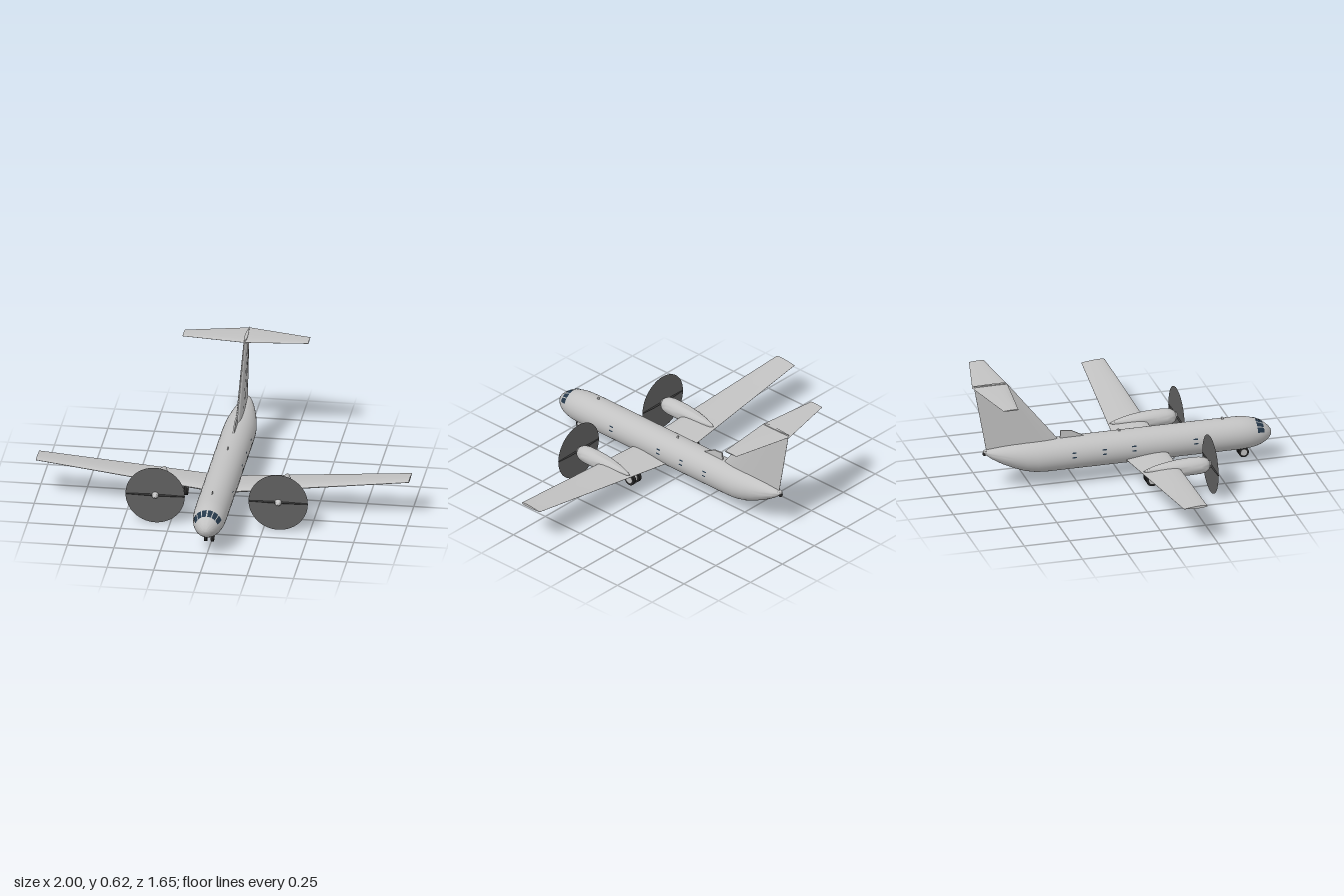
import * as THREE from 'three';
import { toCreasedNormals } from 'three/addons/utils/BufferGeometryUtils.js';

const mat = (name, color, side = THREE.FrontSide) => {
  const m = new THREE.MeshStandardMaterial({ color, side });
  m.name = name;
  return m;
};

// Skin a list of closed rings (equal point counts), cap both ends, face outward
function loft(rings, crease = 0.7) {
  const n = rings[0].length, pts = rings.flat(), idx = [];
  for (let i = 0; i < rings.length - 1; i++) {
    for (let j = 0; j < n; j++) {
      const a = i * n + j, b = i * n + (j + 1) % n;
      idx.push(a, b, b + n, a, b + n, a + n);
    }
  }
  const last = (rings.length - 1) * n;
  for (let j = 1; j < n - 1; j++) idx.push(0, j + 1, j, last, last + j, last + j + 1);
  const p = pts.map((q) => new THREE.Vector3(...q));
  let volume = 0;
  for (let i = 0; i < idx.length; i += 3) {
    volume += p[idx[i]].dot(p[idx[i + 1]].clone().cross(p[idx[i + 2]]));
  }
  if (volume < 0) idx.reverse();
  const g = new THREE.BufferGeometry();
  g.setAttribute('position', new THREE.Float32BufferAttribute(pts.flat(), 3));
  g.setIndex(idx);
  return toCreasedNormals(g, crease);
}

// Streamlined section: returns [z, offset] pairs from leading to trailing edge and back
function foil(le, te, thick) {
  const half = [[0.012, 0.3], [0.06, 0.62], [0.16, 0.9], [0.32, 1], [0.55, 0.82], [0.8, 0.42], [1, 0.05]];
  const at = ([t, h], s) => [le + (te - le) * t, s * h * thick / 2, t];
  return [[le, 0, 0], ...half.map((q) => at(q, 1)), ...half.slice().reverse().map((q) => at(q, -1))];
}

// Fuselage stations: z, top y, bottom y, half width
const body = [
  [0.824, 0.162, 0.158, 0.002], [0.818, 0.18, 0.14, 0.02], [0.805, 0.197, 0.125, 0.036],
  [0.785, 0.215, 0.111, 0.052], [0.76, 0.231, 0.099, 0.066], [0.73, 0.244, 0.091, 0.077],
  [0.69, 0.255, 0.085, 0.085], [0.64, 0.26, 0.083, 0.088], [0.58, 0.261, 0.083, 0.089],
  [-0.42, 0.261, 0.083, 0.089], [-0.48, 0.261, 0.086, 0.086], [-0.54, 0.26, 0.099, 0.079],
  [-0.6, 0.257, 0.122, 0.068], [-0.66, 0.252, 0.15, 0.053], [-0.72, 0.244, 0.186, 0.033],
  [-0.755, 0.239, 0.214, 0.016], [-0.765, 0.235, 0.225, 0.006],
];

// Point on the fuselage skin; a is the angle from the top towards +x
function skin(z, a, lift = 0) {
  let i = 0;
  while (i < body.length - 2 && z < body[i + 1][0]) i++;
  const p = body[i], q = body[i + 1], t = (z - p[0]) / (q[0] - p[0]);
  const [top, bottom, w] = [1, 2, 3].map((k) => p[k] + (q[k] - p[k]) * t);
  return [(w + lift) * Math.sin(a), (top + bottom) / 2 + ((top - bottom) / 2 + lift) * Math.cos(a), z];
}

// Thin plate that follows the fuselage skin
function skinPatch(z0, z1, a0, a1, lift = 0.0025) {
  const g = new THREE.PlaneGeometry(1, 1, 4, 4), pos = g.attributes.position;
  for (let i = 0; i < pos.count; i++) {
    const u = pos.getX(i) + 0.5, v = pos.getY(i) + 0.5;
    pos.setXYZ(i, ...skin(z0 + (z1 - z0) * v, a0 + (a1 - a0) * u, lift));
  }
  g.computeVertexNormals();
  return g;
}

export function createModel() {
  const paint = mat('light grey paint', 0xc2c2c2);
  const glass = mat('dark blue glass', 0x25384a, THREE.DoubleSide);
  const discMat = mat('propeller blur grey', 0x606060, THREE.DoubleSide);
  const dark = mat('blade charcoal', 0x3a3a3a);
  const rubber = mat('tyre black', 0x262626);

  const model = new THREE.Group();
  model.name = 'airplane';
  const add = (name, geo, m, parent = model, x = 0, y = 0, z = 0) => {
    const mesh = new THREE.Mesh(geo, m);
    mesh.name = name;
    mesh.position.set(x, y, z);
    parent.add(mesh);
    return mesh;
  };

  // Fuselage
  const SEG = 40;
  add('fuselage', loft(body.map(([z]) =>
    Array.from({ length: SEG }, (_, j) => skin(z, j / SEG * Math.PI * 2))), 1), paint);
  add('tailCone', new THREE.SphereGeometry(0.012, 16, 10), rubber, model, 0, 0.218, -0.757);

  // Cockpit panes and cabin windows
  const rad = Math.PI / 180;
  for (const s of [-1, 1]) {
    for (const [a0, a1] of [[3, 22], [26, 46], [50, 72]]) {
      add('cockpitWindow', skinPatch(0.732, 0.772, s * a0 * rad, s * a1 * rad), glass);
    }
    for (const z of [0.385, 0.045, -0.118, -0.285]) {
      for (const a of [71.5, 87]) {
        add('cabinWindow', skinPatch(z - 0.012, z + 0.012, s * (a - 2.2) * rad, s * (a + 2.2) * rad, 0.0015), glass);
      }
    }
  }

  // Main wing with dihedral
  const wingRing = (x) => {
    const d = Math.abs(x), y = 0.121 + 0.104 * d, twist = 0.012 - 0.008 * d;
    return foil(0.24 - 0.05 * d, 0.06 * d, 0.036 - 0.022 * d)
      .map(([z, h, t]) => [x, y + h + twist * (0.5 - t), z]);
  };
  add('wing', loft([-1, 0, 1].map(wingRing)), paint);

  // T-tail
  add('fin', loft([[0.22, -0.323, -0.745, 0.034], [0.616, -0.638, -0.817, 0.018]].map(([y, le, te, w]) =>
    foil(le, te, w).map(([z, h]) => [h, y, z]))), paint);
  add('tailplane', loft([-0.337, 0, 0.337].map((x) => {
    const d = Math.abs(x) / 0.337;
    return foil(-0.63 - 0.035 * d, -0.825 + 0.077 * d, 0.013 - 0.006 * d).map(([z, h]) => [x, 0.606 + h, z]);
  })), paint);

  // Thin antennas, drawn as side outlines in (z, y)
  const blade = (name, outline, w) => add(name, loft([-w / 2, w / 2].map((x) =>
    outline.map(([z, y]) => [x, y, z]))), paint);
  blade('dorsalFin', [[-0.2, 0.255], [-0.28, 0.298], [-0.338, 0.303], [-0.342, 0.255]], 0.008);
  for (const z of [0.56, -0.012]) {
    blade('topAntenna', [[z + 0.008, 0.255], [z - 0.004, 0.276], [z - 0.01, 0.276], [z - 0.008, 0.255]], 0.004);
  }
  blade('bellyAntenna', [[0.305, 0.088], [0.29, 0.066], [0.282, 0.066], [0.286, 0.088]], 0.004);

  // Engines and propellers
  const turned = (profile) => {
    const g = new THREE.LatheGeometry(profile.map(([z, r]) => new THREE.Vector2(r, z)), 28);
    return toCreasedNormals(g.rotateX(Math.PI / 2), 0.8);
  };
  const nacelleGeo = turned([[0.025, 0], [0.05, 0.012], [0.1, 0.026], [0.16, 0.037], [0.22, 0.044],
    [0.28, 0.047], [0.335, 0.046], [0.365, 0.041], [0.382, 0.031], [0.39, 0.018], [0.391, 0]]);
  const spinnerGeo = turned([[0.385, 0.019], [0.4, 0.018], [0.412, 0.014], [0.422, 0.008], [0.427, 0]]);
  for (const s of [-1, 1]) {
    const engine = new THREE.Group();
    engine.name = s > 0 ? 'leftEngine' : 'rightEngine';
    engine.position.set(s * 0.33, 0.16, 0);
    model.add(engine);
    add('nacelle', nacelleGeo, paint, engine);
    add('spinner', spinnerGeo, paint, engine);
    add('propellerDisc', new THREE.CircleGeometry(0.159, 56), discMat, engine, 0, 0, 0.396);
    for (const b of [-1, 1]) {
      const bladeGeo = loft([[0.012, 0.006, 0.007], [0.07, 0.005, 0.008], [0.157, 0.003, 0.003]].map(([x, h, d]) =>
        [[b * x, h, 0], [b * x, 0, d], [b * x, -h, 0], [b * x, 0, -d]]));
      add('propellerBlade', bladeGeo, dark, engine, 0, 0, 0.396);
    }
  }

  // Landing gear: twin wheels on a short axle and strut
  const gear = (name, x, y, z, r, spread, width, topY) => {
    const g = new THREE.Group();
    g.name = name;
    g.position.set(x, y, z);
    model.add(g);
    const axle = (rr, len) => new THREE.CylinderGeometry(rr, rr, len, 24).rotateZ(Math.PI / 2);
    for (const s of [-1, 1]) {
      add('tyre', axle(r, width), rubber, g, s * spread);
      add('hub', axle(r * 0.62, width + 0.004), paint, g, s * spread);
    }
    add('axle', axle(r * 0.2, spread * 2), dark, g);
    add('strut', new THREE.CylinderGeometry(0.007, 0.007, topY - y, 14), paint, g, 0, (topY - y) / 2, 0);
  };
  gear('noseGear', 0, 0.065, 0.667, 0.028, 0.018, 0.014, 0.11);
  for (const s of [-1, 1]) {
    gear(s > 0 ? 'leftMainGear' : 'rightMainGear', s * 0.227, 0.07, 0.098, 0.034, 0.021, 0.018, 0.145);
    add('gearFairing', new THREE.BoxGeometry(0.03, 0.03, 0.062), paint, model, s * 0.227, 0.121, 0.1);
  }
  return model;
}
